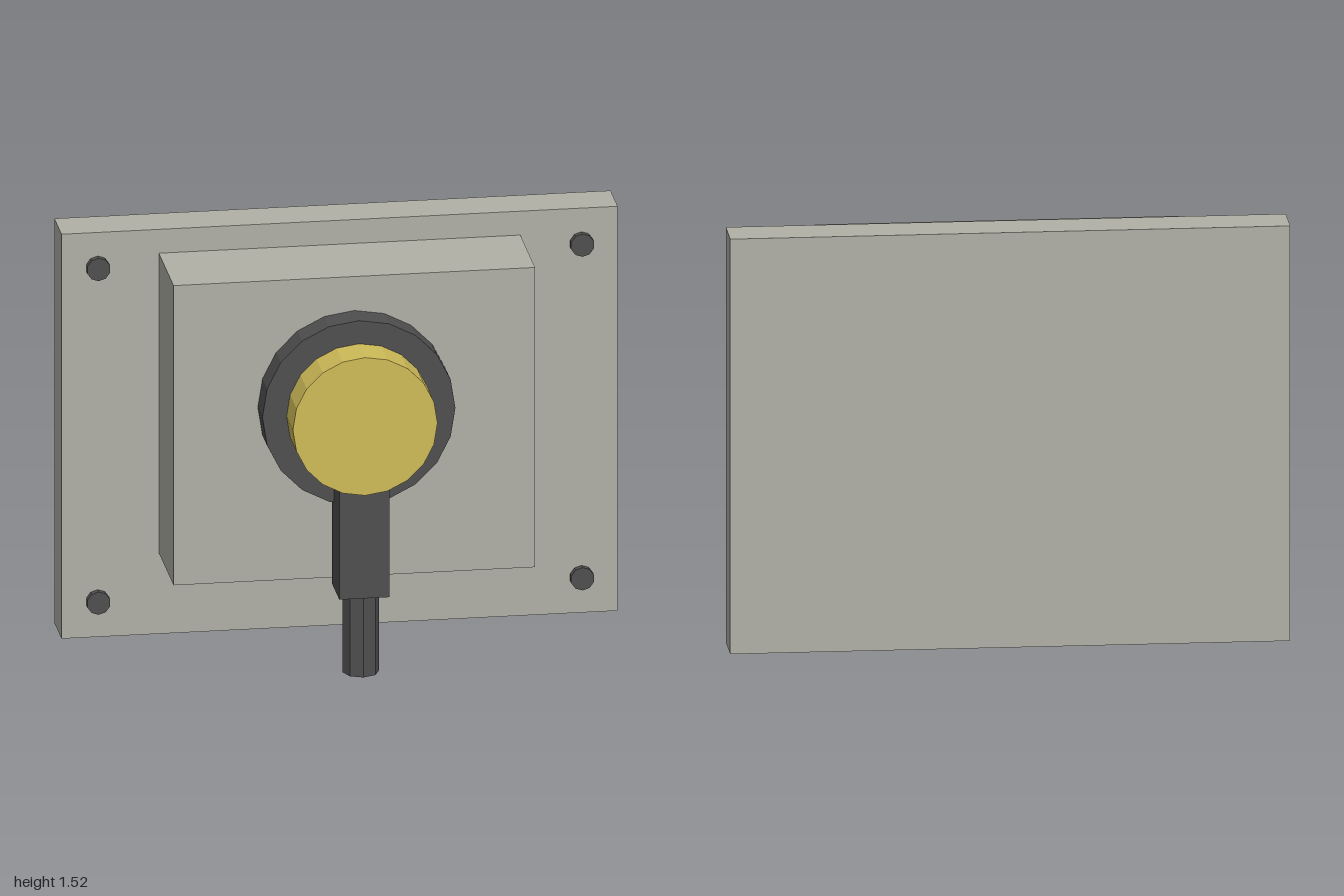
import * as THREE from 'three';

export function createModel() {
  const model = new THREE.Group();
  const paint = (name, color) => {
    const m = new THREE.MeshStandardMaterial({ color, flatShading: true });
    m.name = name;
    return m;
  };
  const grey = paint('grey', 0xb0b0a6);
  const dark = paint('charcoal', 0x4f4f4f);
  const gold = paint('brass', 0xcebb58);

  const add = (name, geometry, material) => {
    const mesh = new THREE.Mesh(geometry, material);
    mesh.name = name;
    model.add(mesh);
    return mesh;
  };
  // Box given by its half width and its y and z ranges
  const box = (name, hx, y0, y1, z0, z1, material) =>
    add(name, new THREE.BoxGeometry(2 * hx, y1 - y0, z1 - z0), material)
      .position.set(0, (y0 + y1) / 2, (z0 + z1) / 2);
  // Faceted disc facing the front, from z0 to z1
  const disc = (name, r, sides, x, y, z0, z1, material) =>
    add(name, new THREE.CylinderGeometry(r, r, z1 - z0, sides).rotateX(Math.PI / 2), material)
      .position.set(x, y, (z0 + z1) / 2);

  // Mounting plate and raised housing
  box('mountingPlate', 1, 0, 1.525, -0.39, -0.22, grey);
  box('housing', 0.65, 0.305, 1.435, -0.22, 0.13, grey);

  // Round collar and cap
  disc('collar', 0.347, 20, 0, 0.96, 0.13, 0.24, dark);
  disc('cap', 0.26, 20, 0, 0.96, 0.24, 0.39, gold);

  // Cable connector and the cable stub below it
  box('connector', 0.09, 0.305, 0.715, 0.2, 0.37, dark);
  add('cable', new THREE.CylinderGeometry(0.065, 0.065, 0.305, 8), dark)
    .position.set(0, 0.1525, 0.285);

  // Corner bolts
  for (const x of [-0.87, 0.87])
    for (const y of [0.135, 1.393])
      disc('bolt', 0.043, 10, x, y, -0.22, -0.195, dark);

  return model;
}
